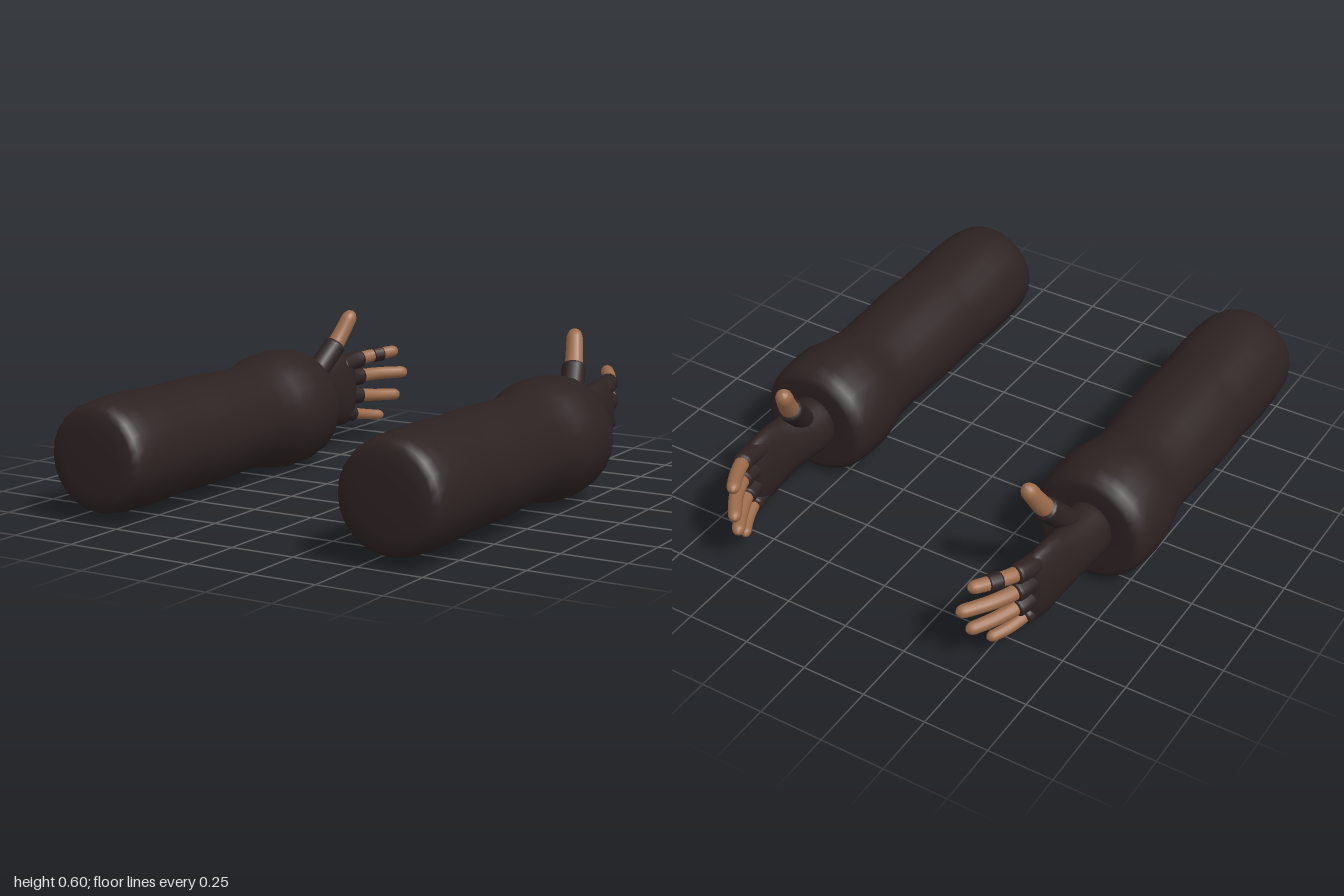
import * as THREE from 'three';
import { mergeVertices } from 'three/addons/utils/BufferGeometryUtils.js';

const cloth = new THREE.MeshStandardMaterial({ color: 0x2d2222 });
cloth.name = 'darkCloth';
const skin = new THREE.MeshStandardMaterial({ color: 0x9c6b4a });
skin.name = 'skin';

function addMesh(parent, name, geometry, material) {
  const mesh = new THREE.Mesh(geometry, material);
  mesh.name = name;
  parent.add(mesh);
}

// Weld seams so the whole surface shades smoothly
function smooth(geometry) {
  geometry.deleteAttribute('normal');
  geometry.deleteAttribute('uv');
  const welded = mergeVertices(geometry, 1e-5);
  welded.computeVertexNormals();
  return welded;
}

// Tube along part of a curve, with ends rounded over the length "edge"
function roundedTube(curve, from, to, radius, edge, taper = 1) {
  const pts = [];
  for (let i = 0; i <= 10; i++) pts.push(curve.getPointAt(from + (to - from) * i / 10));
  const path = new THREE.CatmullRomCurve3(pts);
  const length = path.getLength(), rings = 32, sides = 14;
  const geo = new THREE.TubeGeometry(path, rings, 1, sides);
  const pos = geo.attributes.position, v = new THREE.Vector3();
  for (let i = 0; i < pos.count; i++) {
    const t = Math.floor(i / (sides + 1)) / rings;
    const centre = path.getPointAt(t);
    const d = Math.min(edge, Math.min(t, 1 - t) * length);
    const depth = Math.min(edge, radius);
    const k = 1 - d / edge;
    const r = radius * (1 + (taper - 1) * t) - depth * (1 - Math.sqrt(1 - k * k)) * (1 + (taper - 1) * t);
    v.fromBufferAttribute(pos, i).sub(centre).multiplyScalar(Math.max(r, 0.0005)).add(centre);
    pos.setXYZ(i, v.x, v.y, v.z);
  }
  return smooth(geo);
}

// Sleeve profile: [radius, z] from cuff to upper end
const sleeveProfile = [
  [0, -0.325], [0.12, -0.33], [0.185, -0.335], [0.21, -0.325], [0.224, -0.3], [0.232, -0.26],
  [0.237, -0.18], [0.232, -0.11], [0.218, -0.05], [0.207, 0], [0.201, 0.07], [0.204, 0.2],
  [0.21, 0.36], [0.209, 0.5], [0.207, 0.58], [0.215, 0.75], [0.211, 0.88], [0.205, 0.94],
  [0.193, 0.975], [0.172, 0.993], [0.12, 0.998], [0, 1]
];

// Palm sections: [z, x, y, half thickness, half height]
const palmRings = [
  [-0.3, 0.605, 0.245, 0.098, 0.115], [-0.355, 0.605, 0.245, 0.097, 0.117],
  [-0.42, 0.607, 0.247, 0.09, 0.117], [-0.5, 0.61, 0.248, 0.073, 0.127],
  [-0.57, 0.609, 0.248, 0.062, 0.143], [-0.63, 0.606, 0.247, 0.058, 0.153],
  [-0.69, 0.602, 0.246, 0.052, 0.152], [-0.72, 0.6, 0.246, 0.043, 0.143],
  [-0.735, 0.598, 0.246, 0.024, 0.12]
];

function palmGeometry(side) {
  const last = palmRings.length - 1;
  const geo = new THREE.CylinderGeometry(1, 1, 1, 24, last).rotateX(Math.PI / 2);
  const pos = geo.attributes.position;
  for (let i = 0; i < pos.count; i++) {
    const [z, x, y, hx, hy] = palmRings[Math.round((0.5 - pos.getZ(i)) * last)];
    pos.setXYZ(i, side * x + pos.getX(i) * hx, y + pos.getY(i) * hy, z);
  }
  return smooth(geo);
}

// Digits: path points, share of the path covered by the glove, radii
const digits = [
  { name: 'index', pts: [[0.6, 0.345, -0.66], [0.59, 0.362, -0.77], [0.555, 0.374, -0.86], [0.495, 0.386, -0.965]], glove: 0.44, r: 0.029, gr: 0.038 },
  { name: 'middle', pts: [[0.6, 0.285, -0.66], [0.59, 0.289, -0.78], [0.55, 0.291, -0.88], [0.468, 0.289, -1]], glove: 0.4, r: 0.029, gr: 0.038 },
  { name: 'ring', pts: [[0.6, 0.213, -0.66], [0.587, 0.209, -0.77], [0.55, 0.2, -0.86], [0.488, 0.193, -0.968]], glove: 0.41, r: 0.028, gr: 0.037 },
  { name: 'little', pts: [[0.6, 0.15, -0.64], [0.59, 0.136, -0.73], [0.565, 0.122, -0.81], [0.523, 0.11, -0.888]], glove: 0.42, r: 0.024, gr: 0.033 },
  { name: 'thumb', pts: [[0.592, 0.3, -0.4], [0.575, 0.375, -0.462], [0.545, 0.475, -0.548], [0.512, 0.598, -0.62]], glove: 0.6, r: 0.037, gr: 0.046 }
];

function makeArm(side) {
  const arm = new THREE.Group();
  arm.name = side > 0 ? 'leftArm' : 'rightArm';

  const sleeve = new THREE.LatheGeometry(sleeveProfile.map(([r, z]) => new THREE.Vector2(r, z)), 24);
  sleeve.rotateX(Math.PI / 2).translate(side * 0.605, 0.243, 0);
  addMesh(arm, 'sleeve', smooth(sleeve), cloth);
  addMesh(arm, 'glovePalm', palmGeometry(side), cloth);

  for (const { name, pts, glove, r, gr } of digits) {
    const curve = new THREE.CatmullRomCurve3(pts.map(([x, y, z]) => new THREE.Vector3(side * x, y, z)));
    addMesh(arm, name + 'Glove', roundedTube(curve, 0, glove, gr, 0.014), cloth);
    addMesh(arm, name + 'Finger', roundedTube(curve, glove - 0.12, 1, r, r * 1.2, 0.85), skin);
    // Cloth band worn on the right index finger
    if (side < 0 && name === 'index') {
      addMesh(arm, 'fingerBand', roundedTube(curve, 0.61, 0.77, r + 0.003, 0.008), cloth);
    }
  }
  return arm;
}

export function createModel() {
  const model = new THREE.Group();
  model.name = 'glovedArms';
  model.add(makeArm(1), makeArm(-1));
  return model;
}
